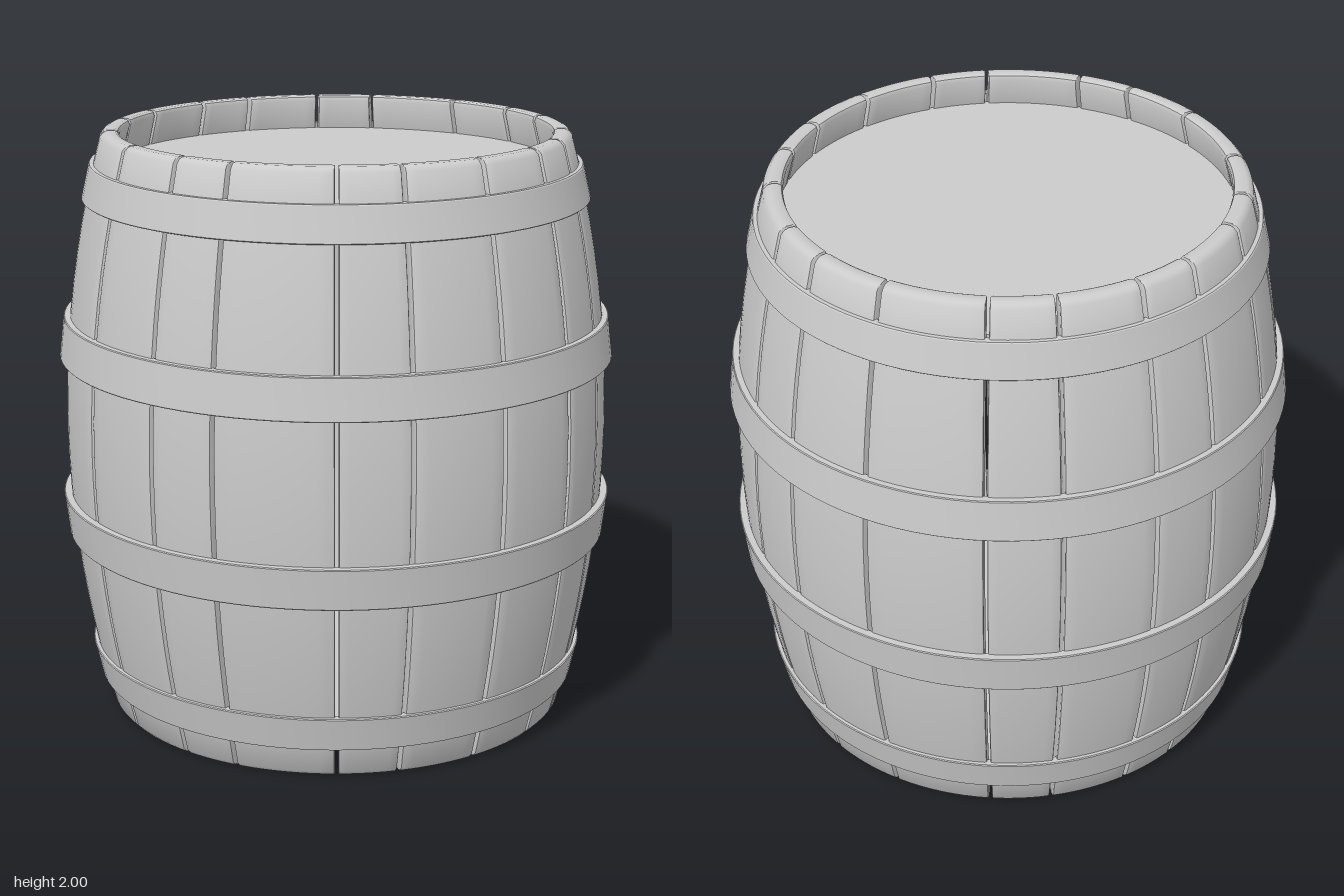
import * as THREE from 'three';
import { toCreasedNormals } from 'three/addons/utils/BufferGeometryUtils.js';

const material = new THREE.MeshStandardMaterial({ color: 0xcccccc });
const WALL = 0.065;

// Outer radius of the barrel at height y
const radiusAt = (y) => 0.922 - 0.14 * (y - 1) ** 2;

// Angles (degrees from +x towards +z) of the seams between staves
const SEAMS = [-85, -69.7, -47.5, -29.8, -14.9, 4.9, 25.2, 40.2, 65.2, 79.8,
  100, 125, 144.5, 160.1, 180, 195, 215, 230.3, 255.2, 275];

// Heights along a stave with the inset that rounds its ends
const STATIONS = [[0, 0.018], [0.005, 0.008], [0.018, 0]];
for (let i = 1; i < 20; i++) STATIONS.push([0.018 + (1.964 * i) / 20, 0]);
STATIONS.push([1.982, 0], [1.995, 0.008], [2, 0.018]);

// One stave: a curved plank with softened edges, swept up the barrel profile
function staveGeometry(a0, a1) {
  const gap = 0.006, bevel = 0.007, arcs = 8;
  const pos = [], index = [];
  let m = 0;
  for (const [y, inset] of STATIONS) {
    const ro = radiusAt(y) - inset;
    const ri = radiusAt(y) - WALL + inset;
    const g = gap / ro, b = bevel / ro;
    const start = a0 + g, end = a1 - g;
    // [angle, how far the surface sinks at the edge]
    const cols = [[start, bevel], [start + b * 0.3, bevel * 0.3]];
    for (let i = 0; i <= arcs; i++) {
      cols.push([start + b + ((end - start - 2 * b) * i) / arcs, 0]);
    }
    cols.push([end - b * 0.3, bevel * 0.3], [end, bevel]);
    m = cols.length;
    const put = (a, r) => pos.push(r * Math.cos(a), y, r * Math.sin(a));
    cols.forEach(([a, d]) => put(a, ro - d));
    cols.reverse().forEach(([a, d]) => put(a, ri + d));
  }
  const n = 2 * m, last = (STATIONS.length - 1) * n;
  for (let k = 0; k < last; k += n) {
    for (let j = 0; j < n; j++) {
      const a = k + j, b = k + ((j + 1) % n);
      index.push(a, a + n, b, b, a + n, b + n);
    }
  }
  // end grain, bottom and top
  for (let j = 0; j < m - 1; j++) {
    const a = j, b = j + 1, c = n - 2 - j, d = n - 1 - j;
    index.push(a, b, c, a, c, d);
    index.push(last + a, last + c, last + b, last + a, last + d, last + c);
  }
  const geometry = new THREE.BufferGeometry();
  geometry.setAttribute('position', new THREE.Float32BufferAttribute(pos, 3));
  geometry.setIndex(index);
  return toCreasedNormals(geometry, 0.7);
}

// A tapered hoop: y and radius of its wide edge, then of its narrow edge
function hoopGeometry(yWide, rWide, yNarrow, rNarrow) {
  const [y0, r0, y1, r1] = yWide < yNarrow
    ? [yWide, rWide, yNarrow, rNarrow] : [yNarrow, rNarrow, yWide, rWide];
  const t = 0.03, c = 0.003;
  const profile = [
    [r0 - t, y0], [r0 - c, y0], [r0, y0 + c],
    [r1, y1 - c], [r1 - c, y1], [r1 - t, y1], [r0 - t, y0],
  ].map(([r, y]) => new THREE.Vector2(r, y));
  return toCreasedNormals(new THREE.LatheGeometry(profile, 96), 0.5);
}

export function createModel() {
  const barrel = new THREE.Group();
  barrel.name = 'barrel';
  const add = (name, geometry, parent = barrel) => {
    const mesh = new THREE.Mesh(geometry, material);
    mesh.name = name;
    parent.add(mesh);
    return mesh;
  };

  // Staves of uneven width
  const staves = new THREE.Group();
  staves.name = 'staves';
  barrel.add(staves);
  for (let i = 0; i < SEAMS.length - 1; i++) {
    const [a0, a1] = [SEAMS[i], SEAMS[i + 1]].map(THREE.MathUtils.degToRad);
    add('stave' + (i + 1), staveGeometry(a0, a1), staves);
  }

  // Hoops, the lower pair mirroring the upper pair
  add('upperEndHoop', hoopGeometry(1.775, 0.853, 1.893, 0.827));
  add('upperMiddleHoop', hoopGeometry(1.24, 0.94, 1.38, 0.924));
  add('lowerMiddleHoop', hoopGeometry(0.765, 0.94, 0.625, 0.924));
  add('lowerEndHoop', hoopGeometry(0.228, 0.853, 0.11, 0.827));

  // Recessed heads closing both ends
  for (const [name, y] of [['topHead', 1.86], ['bottomHead', 0.14]]) {
    add(name, new THREE.CylinderGeometry(0.76, 0.76, 0.04, 96)).position.y = y;
  }
  return barrel;
}
